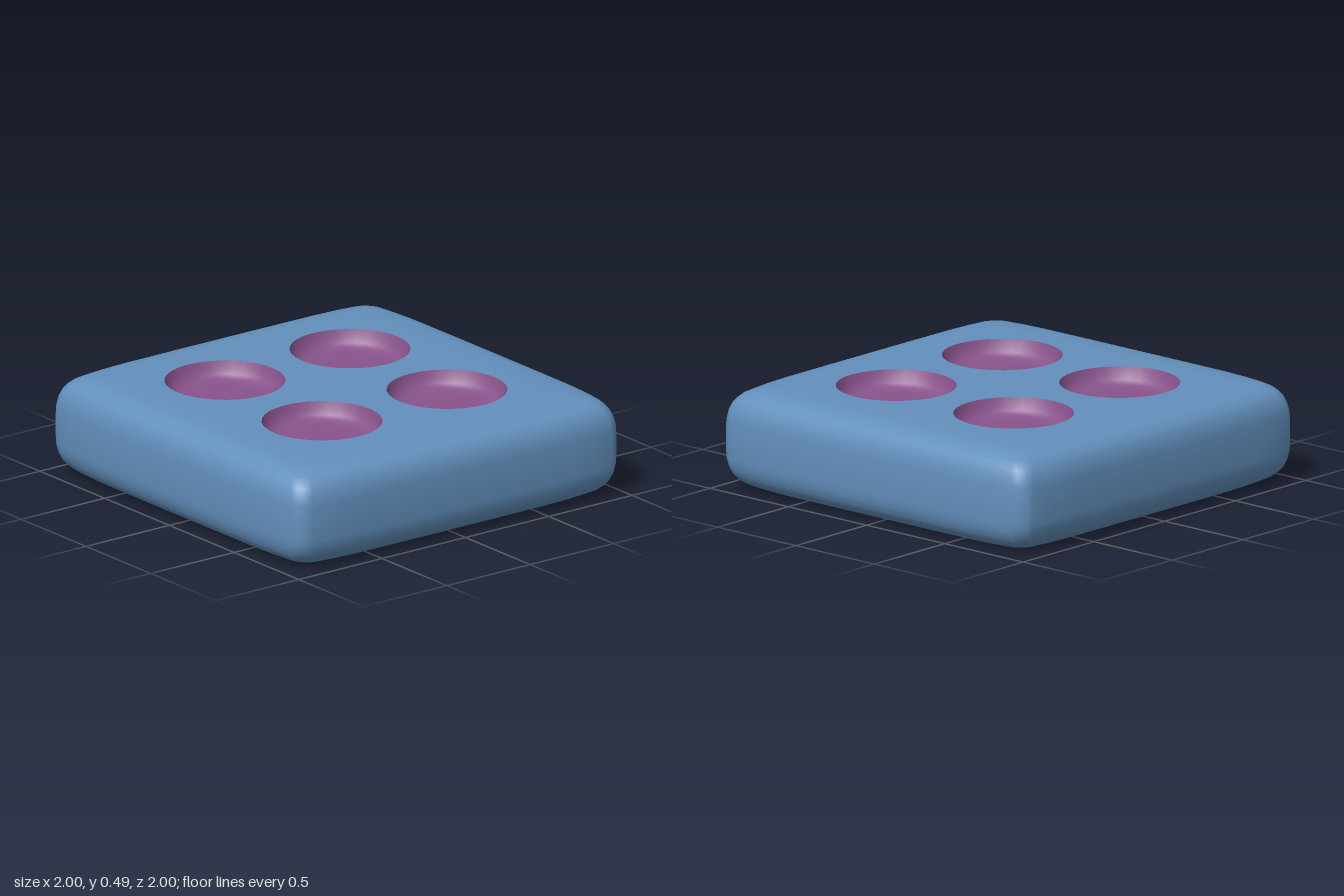
import * as THREE from 'three';

const blue = new THREE.MeshStandardMaterial({ color: 0x6390bd });
blue.name = 'blue';
const purple = new THREE.MeshStandardMaterial({ color: 0x89538b });
purple.name = 'purple';

const MID = 0.25;      // mid height of the slab
const HALF = 0.247;    // half thickness
const HOLE_R = 0.287;
const HOLE_AT = 0.375;
const SEGMENTS = 32;

// Softly bulging square outline, one quarter mirrored about its axis, then turned four times.
function outline() {
  const half = [[1, 0], [1, 0.32], [0.998, 0.64], [0.99, 0.79], [0.976, 0.9], [0.964, 0.927]];
  const quarter = [
    ...half.slice(1).reverse().map(([a, b]) => [a, -b]),
    ...half,
    [0.947, 0.947],
  ];
  const points = [];
  for (let k = 0; k < 4; k++) {
    const c = Math.round(Math.cos(k * Math.PI / 2));
    const s = Math.round(Math.sin(k * Math.PI / 2));
    for (const [x, z] of quarter) points.push(new THREE.Vector2(x * c - z * s, x * s + z * c));
  }
  return points;
}

// Rounded rim: the outline scaled ring by ring from the top plate round to the bottom plate.
function rimGeometry(points, profile) {
  const n = points.length;
  const position = [];
  const index = [];
  profile.forEach(([scale, y]) => {
    for (const p of points) position.push(p.x * scale, MID + y, p.y * scale);
  });
  for (let r = 0; r < profile.length - 1; r++) {
    for (let i = 0; i < n; i++) {
      const j = (i + 1) % n;
      const a = r * n + i, b = r * n + j, c = a + n, d = b + n;
      index.push(a, b, c, b, d, c);
    }
  }
  const geometry = new THREE.BufferGeometry();
  geometry.setAttribute('position', new THREE.Float32BufferAttribute(position, 3));
  geometry.setIndex(index);
  geometry.computeVertexNormals();
  return geometry;
}

export function createModel() {
  const group = new THREE.Group();
  group.name = 'dimpledSlab';
  const points = outline();
  const add = (name, geometry, material, parent = group) => {
    const mesh = new THREE.Mesh(geometry, material);
    mesh.name = name;
    parent.add(mesh);
    return mesh;
  };

  // Rounded sides, nearly upright between the rounded edges
  const upper = [[0.72, HALF], [0.78, 0.245], [0.85, 0.24], [0.9, 0.232], [0.94, 0.211],
    [0.96, 0.192], [0.976, 0.17], [0.99, 0.135], [0.998, 0.09]];
  const lower = upper.map(([s, y]) => [s, -y]).reverse();
  add('roundedSides', rimGeometry(points, [...upper, [1, 0], ...lower]), blue);

  // Flat face with four round openings
  const shape = new THREE.Shape(points.map((p) => p.clone().multiplyScalar(0.72)));
  for (const x of [-HOLE_AT, HOLE_AT]) {
    for (const z of [-HOLE_AT, HOLE_AT]) {
      const hole = new THREE.Path();
      hole.absarc(x, z, HOLE_R, 0, Math.PI * 2, true);
      shape.holes.push(hole);
    }
  }
  const plate = new THREE.ShapeGeometry(shape, SEGMENTS / 2).rotateX(-Math.PI / 2);

  // Shallow bowl with a broad flat floor, from rim to centre
  const bowl = new THREE.LatheGeometry([
    [HOLE_R, 0], [0.276, -0.035], [0.262, -0.06], [0.24, -0.077], [0.21, -0.084], [0.17, -0.086], [0, -0.087],
  ].map(([r, y]) => new THREE.Vector2(r, y)), SEGMENTS);

  // The same face and dimples above and below
  for (const side of ['top', 'bottom']) {
    const face = new THREE.Group();
    face.name = side + 'Side';
    face.position.y = side === 'top' ? MID + HALF : MID - HALF;
    if (side === 'bottom') face.rotation.x = Math.PI;
    add(side + 'Face', plate, blue, face);
    for (const x of [-HOLE_AT, HOLE_AT]) {
      for (const z of [-HOLE_AT, HOLE_AT]) {
        add(side + 'Dimple', bowl, purple, face).position.set(x, 0, z);
      }
    }
    group.add(face);
  }
  return group;
}
